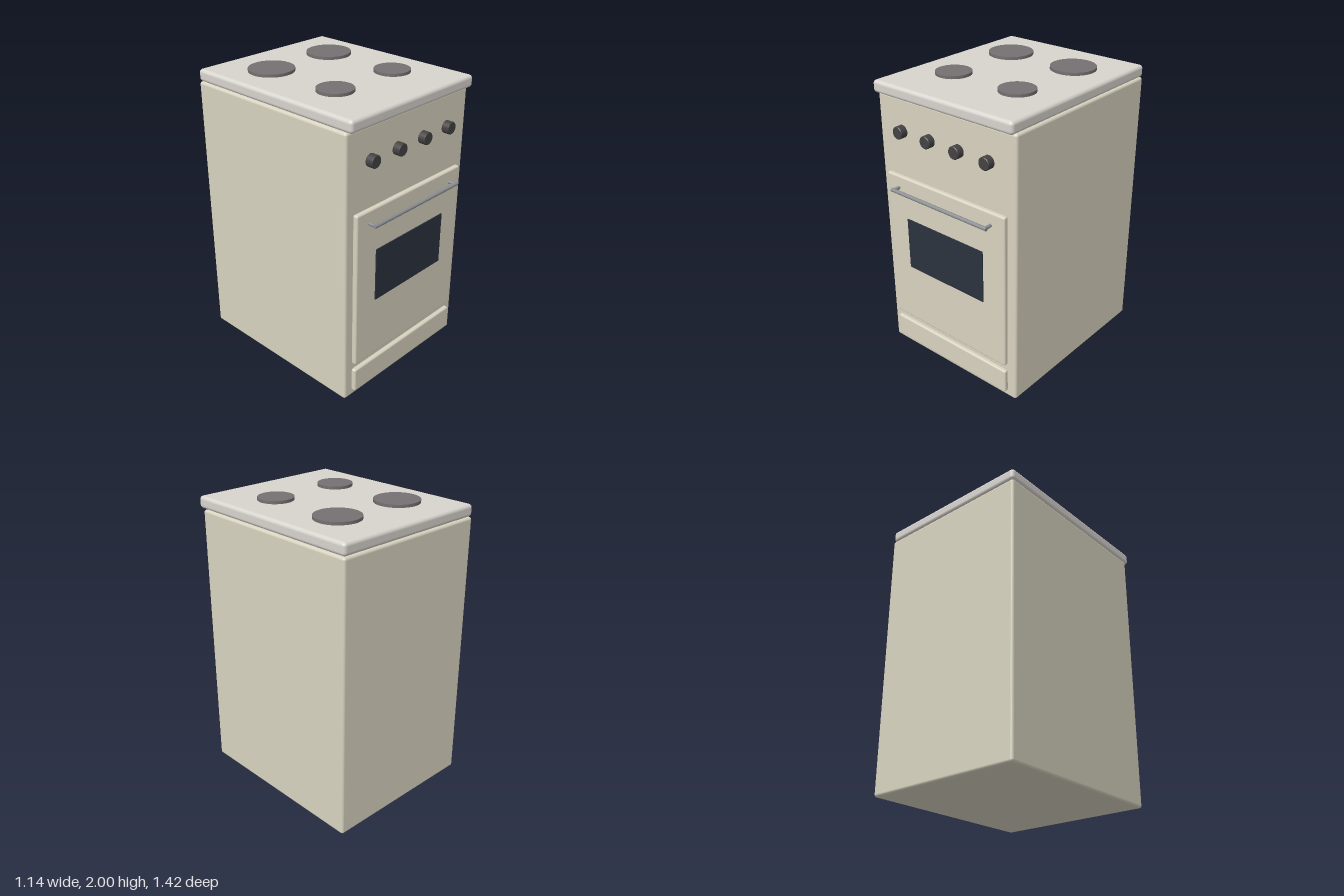
import * as THREE from 'three';
import { RoundedBoxGeometry } from 'three/addons/geometries/RoundedBoxGeometry.js';

const mat = (color) => new THREE.MeshStandardMaterial({ color });

export function createModel() {
  const stove = new THREE.Group();
  stove.name = 'stove';
  const enamel = mat(0xd8d3c0);
  const topEnamel = mat(0xd8d4ce);
  const iron = mat(0x757071);
  const dark = mat(0x444242);
  const glass = mat(0x2c323e);
  const steel = mat(0x8c8e92);

  const add = (name, geometry, material, x = 0, y = 0, z = 0, parent = stove) => {
    const mesh = new THREE.Mesh(geometry, material);
    mesh.name = name;
    mesh.position.set(x, y, z);
    parent.add(mesh);
    return mesh;
  };

  // Rounded panel given by its limits, centred on x
  const panel = (name, width, y0, y1, z0, z1, radius, material) =>
    add(name, new RoundedBoxGeometry(width, y1 - y0, z1 - z0, 4, radius), material,
      0, (y0 + y1) / 2, (z0 + z1) / 2);

  // Cabinet, cooktop, oven door and drawer front
  panel('body', 1.14, 0, 1.895, -0.708, 0.61, 0.018, enamel);
  panel('cooktop', 1.14, 1.897, 1.98, -0.708, 0.652, 0.024, topEnamel);
  panel('ovenDoor', 1.01, 0.268, 1.365, 0.605, 0.643, 0.013, enamel);
  panel('drawer', 1.01, 0.048, 0.222, 0.605, 0.642, 0.013, enamel);

  // Oven window
  add('ovenWindow', new THREE.BoxGeometry(0.66, 0.37, 0.014), glass, 0, 0.885, 0.643);

  // Hotplates: large at the back, small at the front
  for (const side of [-1, 1]) {
    for (const [z, r] of [[-0.338, 0.153], [0.233, 0.12]]) {
      add('hotplate', new THREE.CylinderGeometry(r, r, 0.03, 48), iron, side * 0.263, 1.985, z);
    }
  }

  // Control knobs with a slightly softened front edge
  const knobProfile = [[0, 0], [0.042, 0], [0.042, 0], [0.042, 0.047], [0.042, 0.047],
    [0.038, 0.052], [0.038, 0.052], [0, 0.052]].map(([r, y]) => new THREE.Vector2(r, y));
  const knobGeometry = new THREE.LatheGeometry(knobProfile, 32);
  for (const x of [-0.362, -0.121, 0.121, 0.362]) {
    add('knob', knobGeometry, dark, x, 1.675, 0.608).rotation.x = Math.PI / 2;
  }

  // Door handle: bar with two posts back to the door
  const handle = new THREE.Group();
  handle.name = 'doorHandle';
  stove.add(handle);
  const r = 0.013, barZ = 0.695, handleY = 1.28, postX = 0.397;
  add('handleBar', new THREE.CylinderGeometry(r, r, 0.82, 20), steel, 0, handleY, barZ, handle)
    .rotation.z = Math.PI / 2;
  for (const side of [-1, 1]) {
    add('handlePost', new THREE.CylinderGeometry(0.011, 0.011, 0.06, 20), steel,
      side * postX, handleY, barZ - 0.03, handle).rotation.x = Math.PI / 2;
  }
  return stove;
}
